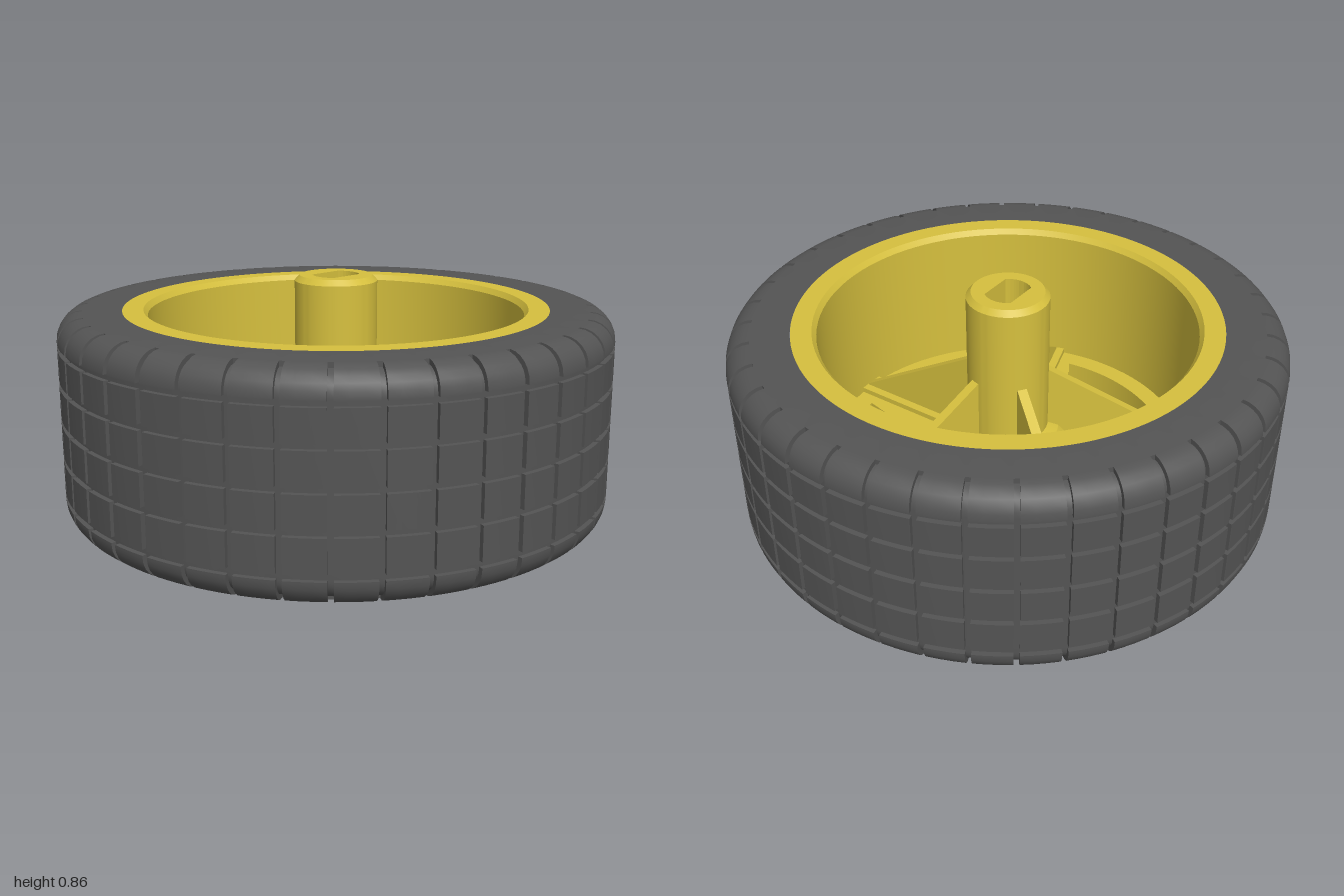
import * as THREE from 'three';
import { toCreasedNormals } from 'three/addons/utils/BufferGeometryUtils.js';

const rubber = new THREE.MeshStandardMaterial({ name: 'dark grey rubber', color: 0x545454 });
const plastic = new THREE.MeshStandardMaterial({ name: 'yellow plastic', color: 0xd6c03e });

const SPOKES = 5;

function part(name, geometry, material, parent) {
  const mesh = new THREE.Mesh(geometry, material);
  mesh.name = name;
  parent.add(mesh);
  return mesh;
}

function lathe(points) {
  const profile = points.map(([r, y]) => new THREE.Vector2(r, y));
  return toCreasedNormals(new THREE.LatheGeometry(profile, 96), 0.5);
}

// Extrudes a plan outline upwards from y0 to y1
function slab(shape, y0, y1) {
  const g = new THREE.ExtrudeGeometry(shape, { depth: y1 - y0, bevelEnabled: false, curveSegments: 48 });
  g.rotateX(-Math.PI / 2).translate(0, y0, 0);
  return toCreasedNormals(g, 0.5);
}

// Tyre: revolved rounded profile, pressed in along ring and cross grooves
function tyreGeometry() {
  const H = 0.75, C = 0.09, DEPTH = 0.018, HALF = 0.01, COUNT = 40, STEPS = 6;
  const rows = [];
  const row = (r, y, a, cross, ring) =>
    rows.push({ r, y, nr: Math.cos(a), ny: Math.sin(a), cross, ring });

  row(0.77, 0, -Math.PI / 2, false, false);
  row(1 - C, 0, -Math.PI / 2, false, false);
  const corner = (cy, from) => {
    for (let i = 0; i <= 6; i++) {
      const a = from + (i / 6) * Math.PI / 2;
      row(1 - C + C * Math.cos(a), cy + C * Math.sin(a), a, true, false);
    }
  };
  corner(C, -Math.PI / 2);
  for (const y of [0.105, 0.245, 0.38, 0.515, 0.645]) {
    row(1, y - HALF, 0, true, false);
    row(1, y - HALF, 0, true, true);
    row(1, y + HALF, 0, true, true);
    row(1, y + HALF, 0, true, false);
  }
  corner(H - C, 0);
  row(1 - C, H, Math.PI / 2, false, false);
  row(0.77, H, Math.PI / 2, false, false);

  const g = new THREE.LatheGeometry(rows.map((p) => new THREE.Vector2(p.r, p.y)), COUNT * STEPS);
  const pos = g.attributes.position;
  const pitch = (Math.PI * 2) / COUNT;
  const gap = pitch - 2 * HALF;
  const offsets = [-HALF, HALF, HALF, HALF + gap / 3, HALF + (gap * 2) / 3, pitch - HALF];
  for (let i = 0; i <= COUNT * STEPS; i++) {
    const step = i % STEPS;
    const angle = (Math.floor(i / STEPS) % COUNT) * pitch + offsets[step];
    rows.forEach((p, j) => {
      const d = p.ring || (p.cross && step < 2) ? DEPTH : 0;
      const r = p.r - p.nr * d;
      pos.setXYZ(i * rows.length + j, r * Math.sin(angle), p.y - p.ny * d, r * Math.cos(angle));
    });
  }
  return toCreasedNormals(g, 0.5);
}

// Spoke plate: disc with five rounded windows and a pinhole in each spoke
function spokePlateShape() {
  const circle = (r, x = 0, y = 0) => new THREE.Path().absarc(x, y, r, 0, Math.PI * 2, true);
  const shape = new THREE.Shape().absarc(0, 0, 0.682, 0, Math.PI * 2, false);
  shape.holes.push(circle(0.27));
  for (let k = 0; k < SPOKES; k++) {
    const spoke = (k * Math.PI * 2) / SPOKES;
    const mid = spoke + Math.PI / SPOKES;
    const at = (u, v) => [
      u * Math.cos(mid) - v * Math.sin(mid),
      u * Math.sin(mid) + v * Math.cos(mid),
    ];
    const half = 0.475;
    const win = new THREE.Path();
    win.moveTo(...at(0.39, -0.11));
    win.absarc(0, 0, 0.607, mid - half, mid + half, false);
    win.lineTo(...at(0.39, 0.11));
    win.bezierCurveTo(...at(0.315, 0.035), ...at(0.315, -0.035), ...at(0.39, -0.11));
    shape.holes.push(win);
    shape.holes.push(circle(0.012, 0.47 * Math.cos(spoke), 0.47 * Math.sin(spoke)));
  }
  return shape;
}

// Hub core: round post with a double-flat axle socket
function hubCoreShape() {
  const shape = new THREE.Shape().absarc(0, 0, 0.132, 0, Math.PI * 2, false);
  const R = 0.085, a = Math.acos(0.055 / R);
  const socket = new THREE.Path();
  socket.absarc(0, 0, R, a, Math.PI - a, false);
  socket.absarc(0, 0, R, Math.PI + a, Math.PI * 2 - a, false);
  socket.closePath();
  shape.holes.push(socket);
  return shape;
}

export function createModel() {
  const wheel = new THREE.Group();
  wheel.name = 'wheel';

  part('tyre', tyreGeometry(), rubber, wheel);

  const rim = new THREE.Group();
  rim.name = 'rim';
  wheel.add(rim);

  // Barrel with upper and lower flanges
  part('rimBarrel', lathe([
    [0.655, 0.1], [0.675, 0.06], [0.695, 0.02], [0.72, 0.02], [0.72, 0.008], [0.745, 0.008],
    [0.745, 0], [0.77, 0], [0.77, 0.75], [0.695, 0.75], [0.68, 0.73], [0.68, 0.15],
  ]), plastic, rim);

  part('spokePlate', slab(spokePlateShape(), 0.1, 0.19), plastic, rim);

  // Hub: recessed funnel underneath, stepped collar and post above
  part('hub', lathe([
    [0, 0.46], [0.135, 0.46], [0.135, 0.2], [0.18, 0.19], [0.225, 0.165], [0.255, 0.135], [0.27, 0.1],
    [0.275, 0.1], [0.31, 0.185], [0.31, 0.205], [0.225, 0.215], [0.22, 0.25], [0.19, 0.285],
    [0.15, 0.3], [0.15, 0.84], [0.132, 0.86],
  ]), plastic, rim);
  part('hubCore', slab(hubCoreShape(), 0.461, 0.86), plastic, rim);
  const floor = part('socketFloor', new THREE.CircleGeometry(0.13, 32), plastic, rim);
  floor.rotation.x = -Math.PI / 2;
  floor.position.y = 0.465;

  // Sloping gusset ribs on low wide bases
  const ribShape = new THREE.Shape();
  ribShape.moveTo(0.14, 0.185);
  ribShape.lineTo(0.675, 0.185);
  ribShape.lineTo(0.675, 0.215);
  ribShape.lineTo(0.14, 0.54);
  const ribGeometry = new THREE.ExtrudeGeometry(ribShape, { depth: 0.036, bevelEnabled: false });
  ribGeometry.translate(0, 0, -0.018);
  const baseGeometry = new THREE.BoxGeometry(0.39, 0.03, 0.1).translate(0.485, 0.195, 0);
  for (let k = 0; k < SPOKES; k++) {
    const spoke = new THREE.Group();
    spoke.name = 'spoke';
    spoke.rotation.y = (k * Math.PI * 2) / SPOKES;
    part('spokeRib', ribGeometry, plastic, spoke);
    part('spokeRibBase', baseGeometry, plastic, spoke);
    rim.add(spoke);
  }

  return wheel;
}
